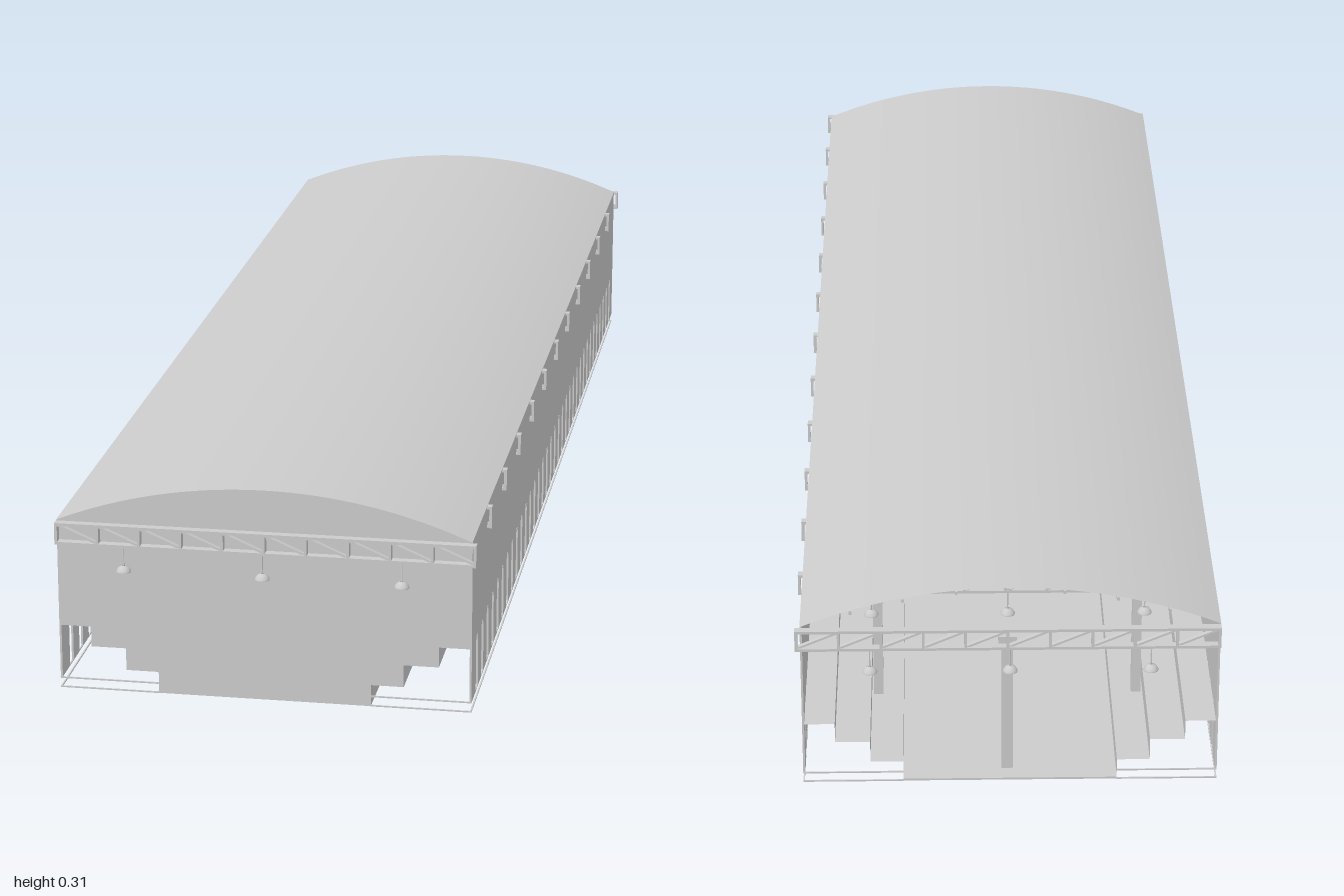
import * as THREE from 'three';

const mat = new THREE.MeshStandardMaterial({ color: 0xcccccc, side: THREE.DoubleSide, flatShading: true });
const smooth = new THREE.MeshStandardMaterial({ color: 0xcccccc, side: THREE.DoubleSide });

const CX = -0.0035, HALF = 0.2965;      // hall centre line and half width
const Z0 = -0.985, Z1 = 0.985;          // hall ends
const EAVE = 0.255, RISE = 0.06;        // roof arc
// stand steps: offset from centre line, height
const STEPS = [[0.153, 0], [0.153, 0.032], [0.2, 0.032], [0.2, 0.065], [0.25, 0.065], [0.25, 0.095], [HALF, 0.095]];

function add(parent, name, geo, x = 0, y = 0, z = 0, m = mat) {
  const mesh = new THREE.Mesh(geo, m);
  mesh.name = name;
  mesh.position.set(x, y, z);
  parent.add(mesh);
  return mesh;
}
const box = (p, name, w, h, d, x, y, z) => add(p, name, new THREE.BoxGeometry(w, h, d), x, y, z);

// points along the roof arc, left to right
function arcPoints(n = 32) {
  const R = (HALF * HALF + RISE * RISE) / (2 * RISE), a = Math.asin(HALF / R);
  return Array.from({ length: n + 1 }, (_, i) => {
    const t = -a + (2 * a * i) / n;
    return new THREE.Vector2(R * Math.sin(t), EAVE + RISE - R + R * Math.cos(t));
  });
}

// sheet swept along z from an open profile
function sheet(pts, z0, z1) {
  const pos = [], idx = [];
  pts.forEach(p => pos.push(p.x, p.y, z0, p.x, p.y, z1));
  for (let i = 0; i < pts.length - 1; i++) {
    const a = 2 * i;
    idx.push(a, a + 1, a + 2, a + 2, a + 1, a + 3);
  }
  const g = new THREE.BufferGeometry();
  g.setAttribute('position', new THREE.Float32BufferAttribute(pos, 3));
  g.setIndex(idx);
  g.computeVertexNormals();
  return g;
}

// side wall with a row of round-headed openings along its foot
function sideWall() {
  const s = new THREE.Shape(), n = 34, pitch = 0.0564, r = 0.011, foot = 0.016;
  s.moveTo(Z0, EAVE);
  s.lineTo(Z0, foot);
  for (let i = 0; i < n; i++) {
    const z = (i - (n - 1) / 2) * pitch;
    s.lineTo(z - r, foot);
    s.lineTo(z - r, 0.087);
    s.absarc(z, 0.087, r, Math.PI, 0, true);
    s.lineTo(z + r, foot);
  }
  s.lineTo(Z1, foot);
  s.lineTo(Z1, EAVE);
  const g = new THREE.ExtrudeGeometry(s, { depth: 0.003, bevelEnabled: false, curveSegments: 6 });
  return g.rotateY(-Math.PI / 2);       // shape x becomes z, depth runs to -x
}

// flat girder with ten braced panels and three hanging lamps
function truss() {
  const g = new THREE.Group(), y0 = 0.222, y1 = 0.254, d = 0.012, t = 0.004;
  box(g, 'bottomChord', 0.6, t, d, 0, y0 + t / 2, 0);
  box(g, 'topChord', 0.6, t, d, 0, y1 - t / 2, 0);
  for (let i = 0; i <= 10; i++) {
    box(g, 'post', t, y1 - y0, d, -0.298 + i * 0.0596, (y0 + y1) / 2, 0);
    if (i === 10) continue;
    const w = 0.0556, h = y1 - y0 - 2 * t;
    box(g, 'brace', Math.hypot(w, h), 0.003, d * 0.6, -0.2682 + i * 0.0596, (y0 + y1) / 2, 0)
      .rotation.z = -Math.atan2(h, w);
  }
  for (const x of [-0.202, -0.003, 0.195]) {
    add(g, 'lampRod', new THREE.CylinderGeometry(0.001, 0.001, 0.03, 6), x, 0.207, 0);
    const shade = [[0.002, 0.194], [0.007, 0.192], [0.0105, 0.187], [0.0105, 0.185]].map(p => new THREE.Vector2(...p));
    add(g, 'lampShade', new THREE.LatheGeometry(shade, 12), x, 0, 0, smooth);
    add(g, 'lampBulb', new THREE.SphereGeometry(0.004, 8, 6), x, 0.187, 0, smooth);
  }
  return g;
}

export function createModel() {
  const model = new THREE.Group();
  model.name = 'longHall';
  const arc = arcPoints();

  // roof and floor
  add(model, 'roof', sheet(arc, Z0 - 0.003, Z1 + 0.003), CX, 0, 0, smooth);
  box(model, 'floor', 0.306, 0.003, Z1 - Z0, CX, 0.0015, 0);

  // closed front wall, cut along the steps of the stands
  const outline = [
    ...arc,
    ...STEPS.slice().reverse().map(([x, y]) => new THREE.Vector2(x, y)),
    ...STEPS.map(([x, y]) => new THREE.Vector2(-x, y)),
  ];
  add(model, 'frontWall', new THREE.ExtrudeGeometry(new THREE.Shape(outline), { depth: 0.003, bevelEnabled: false }), CX, 0, Z1 - 0.003);

  // side walls, stepped stands and thin foot rails
  for (const s of [-1, 1]) {
    add(model, 'sideWall', sideWall(), CX + s * HALF + (s > 0 ? 0 : 0.003), 0, 0);
    add(model, 'stand', sheet(STEPS.map(([x, y]) => new THREE.Vector2(s * x, y)), Z0, Z1), CX, 0, 0);
    for (const y of [0.001, 0.015]) {
      box(model, 'footRail', 0.002, 0.002, Z1 - Z0, CX + s * (HALF - 0.001), y, 0);
      for (const z of [Z0, Z1]) box(model, 'endRail', HALF - 0.153, 0.002, 0.002, CX + s * (HALF + 0.153) / 2, y, z);
    }
    for (let i = 0; i < 10; i++) box(model, 'standBracket', 0.024, 0.004, 0.012, CX + s * 0.18, 0.024, -0.9 + i * 0.2);
    // roof columns standing on the lower step
    for (const z of [-0.787, 0.787]) {
      box(model, 'column', 0.014, 0.19, 0.014, CX + s * 0.19, 0.127, z);
      box(model, 'columnHead', 0.022, 0.01, 0.022, CX + s * 0.19, 0.217, z);
    }
  }

  // end columns on the centre line
  for (const z of [-0.95, 0.95]) {
    box(model, 'endColumn', 0.016, 0.22, 0.016, 0, 0.112, z);
    box(model, 'endColumnHead', 0.026, 0.012, 0.026, 0, 0.216, z);
  }

  // roof girders and purlins
  for (let i = 0; i < 13; i++) {
    const t = truss();
    t.name = 'truss';
    t.position.z = -0.994 + (i * 1.988) / 12;
    model.add(t);
  }
  for (const i of [4, 8, 12, 16, 20, 24, 28])
    box(model, 'purlin', 0.004, 0.005, Z1 - Z0, CX + arc[i].x, arc[i].y - 0.006, 0);

  return model;
}
